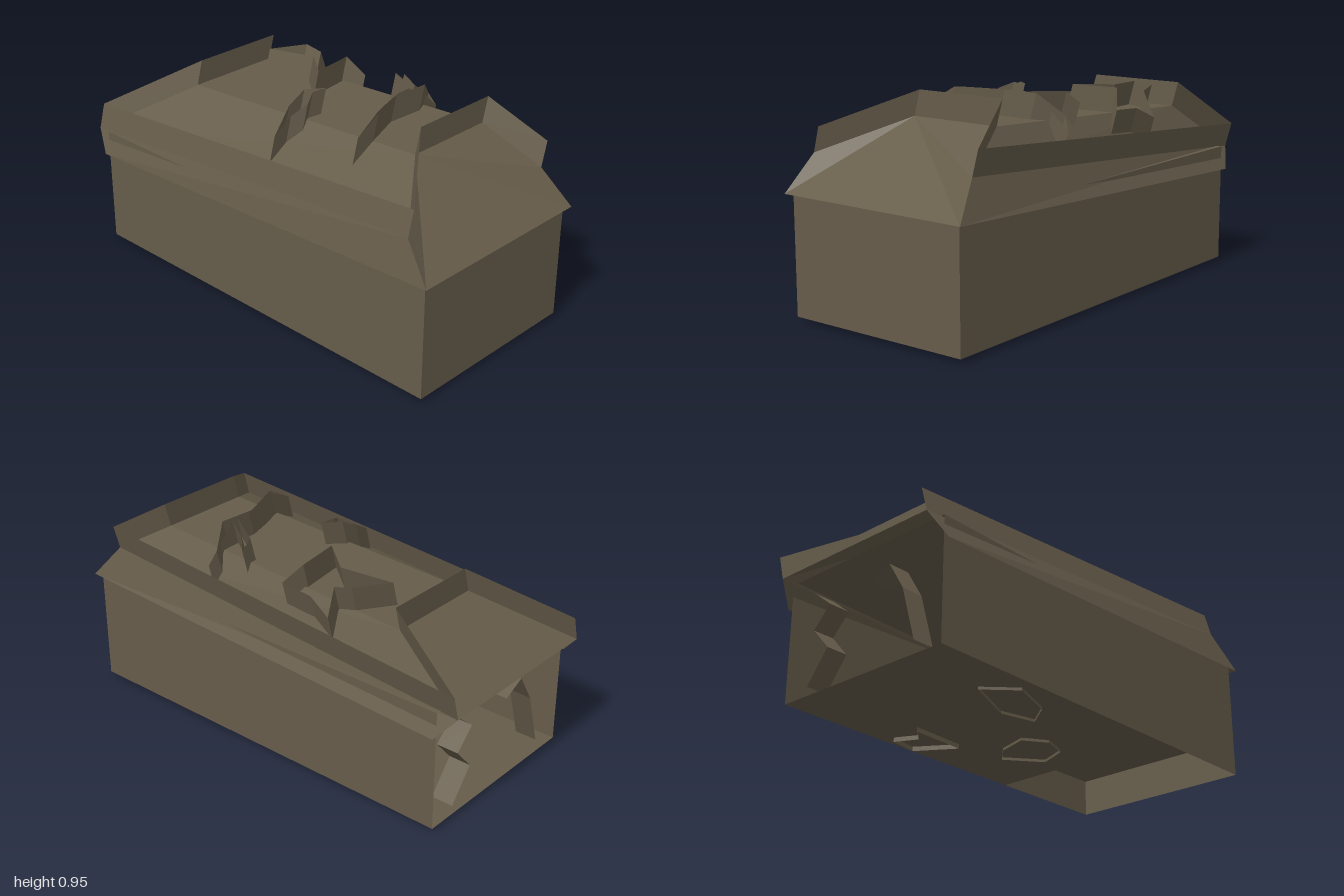
import * as THREE from 'three';

const stone = new THREE.MeshStandardMaterial({ color: 0x665c4a, side: THREE.DoubleSide, flatShading: true });
stone.name = 'brown stone';

// Flat faces, each a convex polygon of [x, y, z] corners, counter-clockwise from outside
function faces(name, polygons) {
  const pos = [];
  for (const p of polygons)
    for (let i = 1; i < p.length - 1; i++) pos.push(...p[0], ...p[i], ...p[i + 1]);
  const g = new THREE.BufferGeometry();
  g.setAttribute('position', new THREE.Float32BufferAttribute(pos, 3));
  g.computeVertexNormals();
  const mesh = new THREE.Mesh(g, stone);
  mesh.name = name;
  return mesh;
}

// Thin wall swept from a path along an offset
function ribbon(name, path, offset, closed = true) {
  const lift = p => p.map((v, i) => v + offset[i]);
  const quads = [];
  for (let i = 0; i < path.length - (closed ? 0 : 1); i++) {
    const a = path[i], b = path[(i + 1) % path.length];
    quads.push([a, b, lift(b), lift(a)]);
  }
  return faces(name, quads);
}

// Height of the hipped roof between its end slopes
function roofY(x, z) {
  const top = 0.806 + x * 0.055, eave = 0.622 + x * 0.078;
  const t = z > 0.1 ? (z - 0.1) / 0.32 : z < -0.33 ? (-0.33 - z) / 0.085 : 0;
  return top + (eave - top) * Math.min(t, 1);
}

export function createModel() {
  const model = new THREE.Group();

  // Chest body: open at the -x end, with a stepped floor
  const x0 = -0.92, x1 = 0.975, xs = 0.385, y0 = 0.02, ys = 0.19, y1 = 0.555, z0 = -0.44, z1 = 0.435;
  model.add(faces('body', [
    [[x0, y0, z1], [x1, y0, z1], [x1, y1, z1], [x0, y1, z1]],
    [[x1, y0, z0], [x0, y0, z0], [x0, y1, z0], [x1, y1, z0]],
    [[x1, y0, z1], [x1, y0, z0], [x1, y1, z0], [x1, y1, z1]],
    [[x0, y1, z1], [x1, y1, z1], [x1, y1, z0], [x0, y1, z0]],
  ]));
  model.add(faces('steppedFloor', [
    [[x0, y0, z0], [xs, y0, z0], [xs, y0, z1], [x0, y0, z1]],
    [[xs, y0, z1], [xs, y0, z0], [xs, ys, z0], [xs, ys, z1]],
    [[xs, ys, z0], [x1, ys, z0], [x1, ys, z1], [xs, ys, z1]],
  ]));

  // Lid corners: ridge, eave and rim at each end
  const rf = [0.62, 0.84, 0.095], rb = [0.62, 0.84, -0.33];
  const lf = [-0.65, 0.77, 0.12], lb = [-0.65, 0.77, -0.33];
  const erf = [0.87, 0.69, 0.42], erb = [0.87, 0.69, -0.415];
  const elf = [-1, 0.545, 0.42], elb = [-1, 0.545, -0.415];
  const rrf = [1, 0.535, 0.46], rrb = [1, 0.535, -0.465];
  const rlf = [-0.92, 0.45, 0.46], rlb = [-0.92, 0.45, -0.465];

  model.add(faces('roof', [
    [lf, rf, rb, lb],
    [elf, erf, rf, lf],
    [erb, elb, lb, rb],
    [elb, elf, lf, lb],
    [rf, rrf, rrb, erb, rb],
    [rf, erf, rrf],
  ]));
  model.add(faces('fascia', [
    [rlf, rrf, erf, elf],
    [rrb, rlb, elb, erb],
  ]));

  // Upright edging around the roof panel, leaning back
  const lean = [0, 0.11, -0.03];
  model.add(ribbon('roofEdging', [rf, rb, erb, elb, lb, lf, elf, erf], lean));

  // Jagged cracks standing up on the roof, as [x, z] outlines
  const cracks = [
    [[-0.52, -0.18], [-0.43, -0.33], [-0.35, -0.34], [-0.36, -0.39], [-0.25, -0.37], [-0.1, -0.37],
      [-0.17, -0.32], [-0.14, -0.11], [-0.29, -0.23]],
    [[0.03, 0.02], [-0.03, 0.09], [-0.03, 0.18], [0.025, 0.32], [0.02, 0.22], [0.05, 0.15], [0.02, 0.09]],
    [[0.29, -0.4], [0.27, -0.37], [0.33, -0.27], [0.32, -0.1], [0.36, 0], [0.4, 0.1], [0.4, 0.22],
      [0.38, 0.08], [0.34, -0.03], [0.31, -0.13], [0.31, -0.2], [0.14, -0.3], [0.14, -0.35], [0.18, -0.31],
      [0.3, -0.24]],
  ];
  for (const c of cracks)
    model.add(ribbon('roofCrack', c.map(([x, z]) => [x, roofY(x, z), z]), lean));

  // Shallow crack outlines under the floor
  const floorCracks = [
    [[0.25, -0.08], [0.1, -0.2], [0.02, -0.12], [-0.02, 0.02], [0.08, 0.09], [0.2, 0.05]],
    [[-0.14, -0.23], [-0.25, -0.4], [-0.38, -0.38], [-0.33, -0.28], [-0.4, -0.22]],
    [[-0.14, 0.2], [-0.3, 0.16], [-0.54, 0.26], [-0.42, 0.38], [-0.22, 0.31]],
  ];
  floorCracks.forEach((c, i) =>
    model.add(ribbon('floorCrack', c.map(([x, z]) => [x, y0, z]), [0, i === 1 ? -0.02 : -0.012, 0])));

  // Jagged cracks running inward from the open end, as [z, y] lines
  const endCracks = [
    [[-0.3, 0.47], [-0.2, 0.39], [-0.29, 0.3], [-0.2, 0.2], [-0.31, 0.06]],
    [[0.04, 0.4], [0.14, 0.45], [0.22, 0.32], [0.29, 0.08]],
  ];
  for (const c of endCracks)
    model.add(ribbon('endCrack', c.map(([z, y]) => [x0, y, z]), [0.1, 0, 0], false));

  return model;
}
